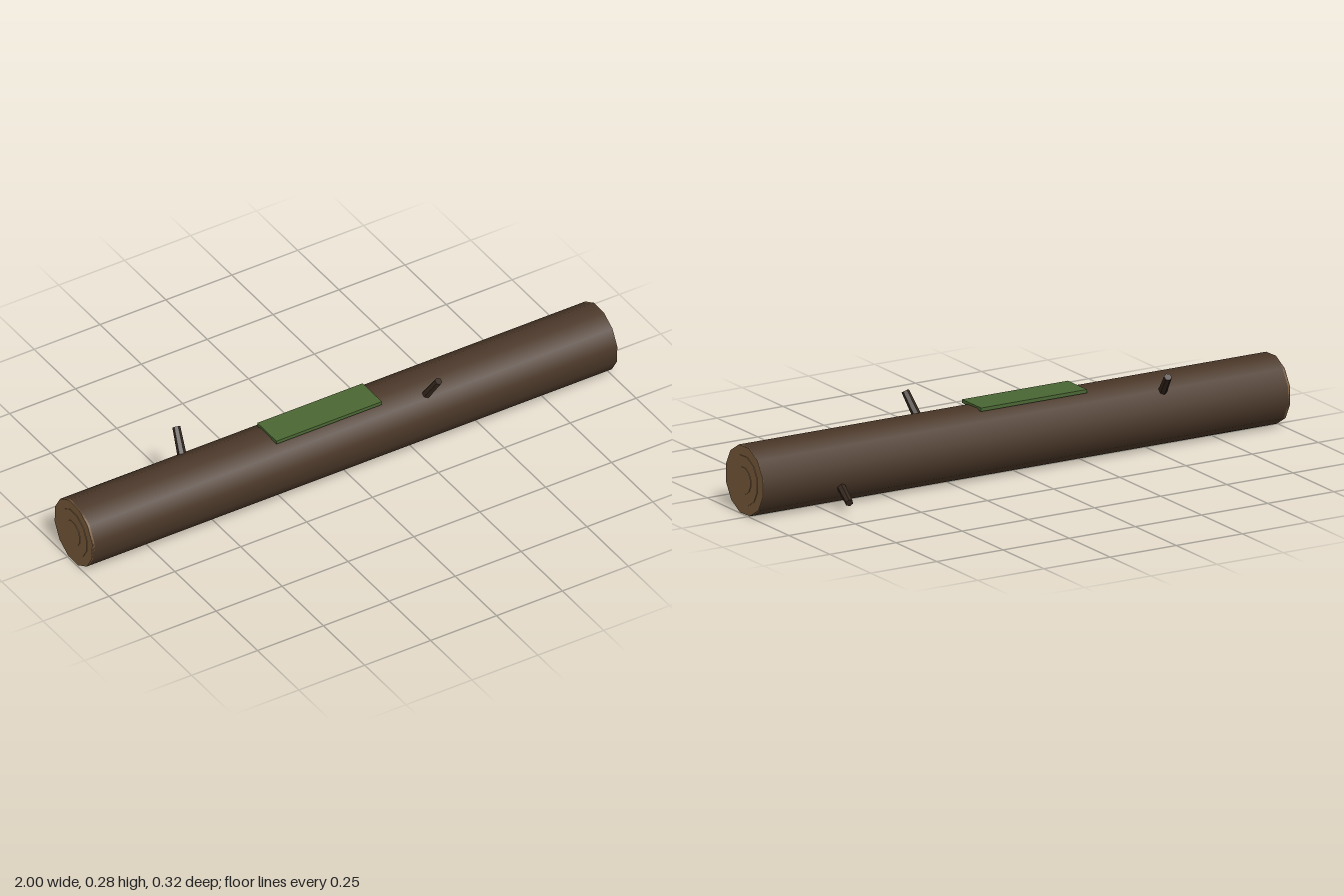
import * as THREE from 'three';

const mat = (color, flatShading = false) => new THREE.MeshStandardMaterial({ color, flatShading });

export function createModel() {
  const model = new THREE.Group();
  model.name = 'fallenLog';
  const bark = mat(0x4a3728);
  const twig = mat(0x35271e, true);
  const wood = mat(0x7a5c3c);
  const moss = mat(0x4a6633, true);

  const add = (name, geometry, material, parent = model) => {
    const mesh = new THREE.Mesh(geometry, material);
    mesh.name = name;
    parent.add(mesh);
    return mesh;
  };

  // Twelve-sided disc or tube lying along x, slightly rolled
  const lying = (radius, length, open = false) => new THREE.CylinderGeometry(radius, radius, length, 12, 1, open)
    .rotateZ(Math.PI / 2)
    .rotateX(THREE.MathUtils.degToRad(16.7));

  // Trunk with smooth bark
  const log = new THREE.Group();
  log.name = 'log';
  log.position.set(0, 0.114, 0.029);
  model.add(log);
  add('trunk', lying(0.117, 1.988, true), bark, log);

  // Cut ends: the sawn face and two raised growth rings
  const rings = [[0.117, 0.996], [0.084, 0.998], [0.045, 1.0]];
  for (const side of [-1, 1]) {
    rings.forEach(([radius, reach], i) => {
      const disc = add(i ? 'growthRing' : 'cutEnd', lying(radius, 0.008), wood, log);
      disc.position.x = side * (reach - 0.004);
    });
  }

  // Moss patch on top
  add('mossPatch', new THREE.BoxGeometry(0.4, 0.012, 0.116), moss).position.set(-0.068, 0.228, 0.038);

  // Broken branch stubs, from base to tip
  const stubs = [
    [[0.298, 0.2, 0.1], [0.314, 0.277, 0.149]],
    [[-0.536, 0.193, -0.048], [-0.518, 0.26, -0.111]],
    [[0.694, 0.071, -0.074], [0.712, 0.04, -0.154]],
  ];
  for (const [a, b] of stubs) {
    const base = new THREE.Vector3(...a);
    const dir = new THREE.Vector3(...b).sub(base);
    const length = dir.length();
    const stub = add('branchStub', new THREE.CylinderGeometry(0.013, 0.015, length, 6), twig);
    stub.position.copy(base).addScaledVector(dir, 0.5);
    stub.quaternion.setFromUnitVectors(new THREE.Vector3(0, 1, 0), dir.normalize());
  }
  return model;
}
